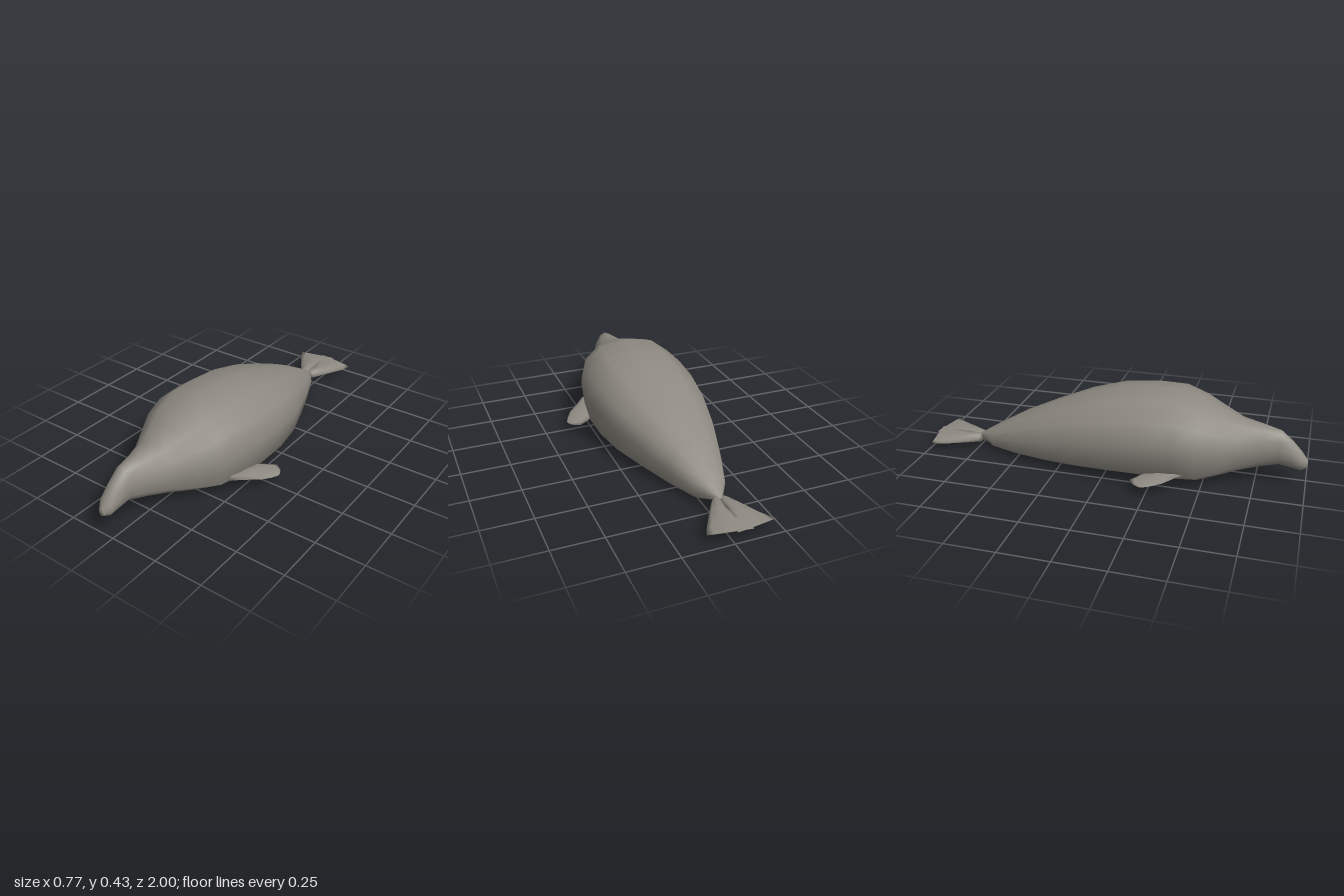
import * as THREE from 'three';

const skin = new THREE.MeshStandardMaterial({ color: 0x8e8a82 });
skin.name = 'greySkin';

// Skin a row of equal-sized rings, closing both ends
function loft(name, rings) {
  const n = rings[0].length, pos = [], idx = [];
  rings.forEach(r => r.forEach(p => pos.push(p.x, p.y, p.z)));
  for (let i = 0; i < rings.length - 1; i++) {
    for (let j = 0; j < n; j++) {
      const a = i * n + j, b = i * n + (j + 1) % n;
      idx.push(a, b, a + n, b, b + n, a + n);
    }
  }
  [0, rings.length - 1].forEach((i, end) => {
    const c = new THREE.Vector3();
    rings[i].forEach(p => c.addScaledVector(p, 1 / n));
    const k = pos.length / 3;
    pos.push(c.x, c.y, c.z);
    for (let j = 0; j < n; j++) {
      const a = i * n + j, b = i * n + (j + 1) % n;
      if (end) idx.push(a, b, k); else idx.push(b, a, k);
    }
  });
  // Turn the faces outward if the rings ran the other way
  const v = i => new THREE.Vector3().fromArray(pos, idx[i] * 3);
  let volume = 0;
  for (let i = 0; i < idx.length; i += 3) volume += v(i).dot(v(i + 1).cross(v(i + 2)));
  if (volume < 0) idx.reverse();
  const g = new THREE.BufferGeometry();
  g.setAttribute('position', new THREE.Float32BufferAttribute(pos, 3));
  g.setIndex(idx);
  g.computeVertexNormals();
  const mesh = new THREE.Mesh(g, skin);
  mesh.name = name;
  return mesh;
}

// Twelve-sided cross-section: round at the head, flat-bellied at the trunk
const FX = [0, 0.54, 0.89, 1, 0.94, 0.61, 0];
const FY = [1, 0.94, 0.77, 0.5, 0.15, 0.025, 0];
function bodyRing([z, x0, x1, y0, y1]) {
  const flat = THREE.MathUtils.clamp((0.9 - z) / 0.4, 0, 1);
  const ring = [];
  for (let i = 0; i < 12; i++) {
    const k = i <= 6 ? i : 12 - i, a = k * Math.PI / 6;
    const fx = THREE.MathUtils.lerp(Math.sin(a), FX[k], flat) * (i <= 6 ? 1 : -1);
    const fy = THREE.MathUtils.lerp(0.5 + 0.5 * Math.cos(a), FY[k], flat);
    ring.push(new THREE.Vector3((x0 + x1) / 2 + fx * (x1 - x0) / 2, y0 + fy * (y1 - y0), z));
  }
  return ring;
}

// Flat lens-shaped ring between two edge points
function finRing([ax, ay, az, bx, by, bz, thick]) {
  const a = new THREE.Vector3(ax, ay, az), b = new THREE.Vector3(bx, by, bz);
  const ring = [];
  for (let i = 0; i < 8; i++) {
    const t = i * Math.PI / 4;
    const p = a.clone().lerp(b, 0.5 - 0.5 * Math.cos(t));
    p.y += Math.sin(t) * thick / 2;
    ring.push(p);
  }
  return ring;
}

export function createModel() {
  const group = new THREE.Group();
  group.name = 'seal';

  // Body from drooping snout to tail: z, left and right x, bottom and top y
  group.add(loft('body', [
    [1.0, -0.07, -0.04, 0.105, 0.145],
    [0.97, -0.093, -0.015, 0.09, 0.185],
    [0.92, -0.098, -0.006, 0.097, 0.24],
    [0.86, -0.103, 0.003, 0.106, 0.29],
    [0.77, -0.125, 0.045, 0.085, 0.305],
    [0.67, -0.157, 0.095, 0.058, 0.318],
    [0.57, -0.21, 0.16, 0.03, 0.357],
    [0.47, -0.26, 0.222, 0.006, 0.4],
    [0.36, -0.283, 0.258, 0.003, 0.434],
    [0.2, -0.292, 0.28, 0.002, 0.43],
    [0.03, -0.288, 0.277, 0.002, 0.41],
    [-0.15, -0.27, 0.243, 0.002, 0.36],
    [-0.33, -0.232, 0.175, 0.003, 0.29],
    [-0.5, -0.18, 0.105, 0.005, 0.215],
    [-0.65, -0.127, 0.037, 0.018, 0.13],
    [-0.75, -0.062, -0.042, 0.055, 0.07]
  ].map(bodyRing)));

  // Front flippers, swept back: front edge, back edge, thickness
  for (const s of [1, -1]) {
    group.add(loft(s > 0 ? 'leftFlipper' : 'rightFlipper', [
      [0.23, 0.085, 0.45, 0.23, 0.065, 0.24, 0.035],
      [0.28, 0.078, 0.39, 0.28, 0.062, 0.2, 0.03],
      [0.34, 0.068, 0.33, 0.33, 0.06, 0.168, 0.02],
      [0.37, 0.06, 0.275, 0.365, 0.057, 0.19, 0.012],
      [0.383, 0.057, 0.24, 0.381, 0.056, 0.22, 0.005]
    ].map(([ax, ...r]) => finRing([ax * s, r[0], r[1], r[2] * s, r[3], r[4], r[5]]))));
  }

  // Hind flippers, two fans spreading from the tail tip
  for (const s of [1, -1]) {
    const cx = -0.05;
    group.add(loft(s > 0 ? 'leftHindFlipper' : 'rightHindFlipper', [
      [-0.005, 0.05, -0.735, 0.045, 0.05, -0.75, 0.05],
      [0.0, 0.055, -0.82, 0.09, 0.048, -0.82, 0.045],
      [-0.015, 0.06, -0.9, 0.15, 0.048, -0.92, 0.03],
      [-0.04, 0.06, -1.0, 0.17, 0.056, -0.965, 0.005]
    ].map(([ax, ay, az, bx, by, bz, t]) => finRing([cx + ax * s, ay, az, cx + bx * s, by, bz, t]))));
  }
  return group;
}
